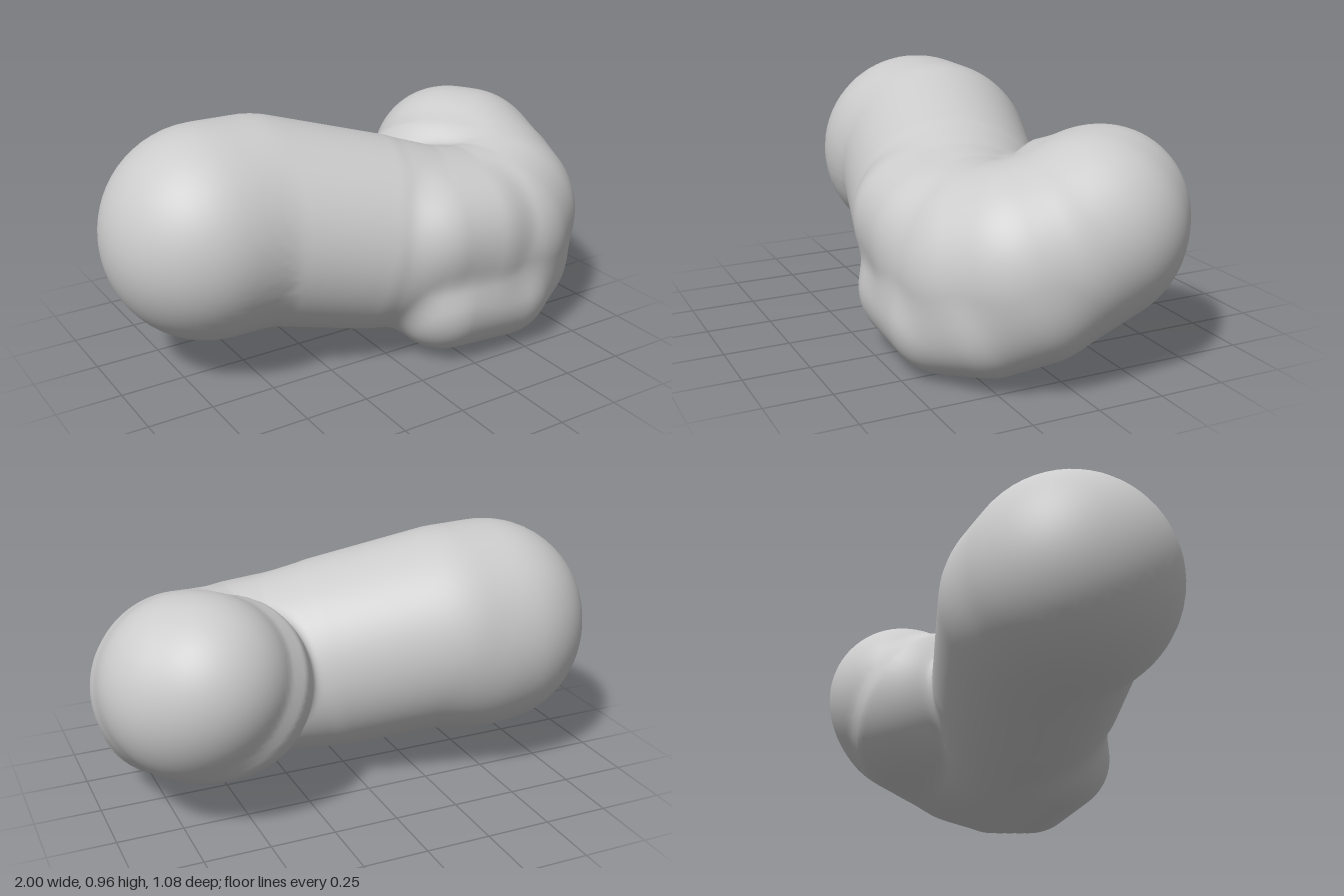
import * as THREE from 'three';
import { mergeVertices } from 'three/addons/utils/BufferGeometryUtils.js';

// Each strand is a chain of balls: x, y, z, radius
const strands = {
  // Centreline of the whole bent body
  spine: [
    [-0.597, 0.562, -0.045, 0.403],
    [-0.42, 0.561, -0.05, 0.4],
    [0, 0.468, 0.08, 0.382],
    [0.22, 0.425, 0.152, 0.358],
    [0.38, 0.405, 0.177, 0.352],
    [0.52, 0.405, 0.165, 0.352],
    [0.62, 0.432, 0.09, 0.352],
    [0.655, 0.468, -0.02, 0.345],
    [0.65, 0.515, -0.15, 0.343],
  ],
  // Fuller lower edge round the outside of the bend
  lowerEdge: [
    [0.22, 0.24, 0.312, 0.22],
    [0.48, 0.224, 0.315, 0.22],
    [0.64, 0.262, 0.22, 0.226],
    [0.72, 0.33, 0.09, 0.235],
  ],
  // Fuller upper edge on the front of the bend
  upperEdge: [
    [0.18, 0.505, 0.3, 0.23],
    [0.34, 0.49, 0.305, 0.23],
  ],
  // Widened rounded tip of the short limb
  tip: [
    [0.57, 0.515, -0.18, 0.342],
    [0.62, 0.562, -0.228, 0.31],
    [0.68, 0.552, -0.17, 0.31],
  ],
  // Lower back of the long limb's end
  heel: [
    [-0.6, 0.505, -0.08, 0.36],
    [-0.52, 0.5, -0.085, 0.36],
  ],
};

const chains = Object.values(strands).map((rows) =>
  rows.map(([x, y, z, r]) => ({ p: new THREE.Vector3(x, y, z), r })));

const smoothMin = (a, b, k) => {
  const h = Math.max(k - Math.abs(a - b), 0) / k;
  return Math.min(a, b) - h * h * k * 0.25;
};

// Distance to a rounded, slightly tapered segment
const ab = new THREE.Vector3(), aq = new THREE.Vector3();
function segmentDistance(q, a, b) {
  ab.subVectors(b.p, a.p);
  const t = THREE.MathUtils.clamp(aq.subVectors(q, a.p).dot(ab) / ab.lengthSq(), 0, 1);
  return q.distanceTo(ab.multiplyScalar(t).add(a.p)) - THREE.MathUtils.lerp(a.r, b.r, t);
}

function chainDistance(q, chain) {
  let d = Infinity;
  for (let i = 0; i < chain.length - 1; i++) d = Math.min(d, segmentDistance(q, chain[i], chain[i + 1]));
  return d;
}

const bodyDistance = (q) =>
  chains.reduce((d, chain) => smoothMin(d, chainDistance(q, chain), 0.045), 10);

export function createModel() {
  const group = new THREE.Group();
  group.name = 'bentBean';

  // Even sphere whose vertices are pushed out to the body surface
  let geometry = new THREE.IcosahedronGeometry(1, 36);
  geometry.deleteAttribute('uv');
  geometry.deleteAttribute('normal');
  geometry = mergeVertices(geometry, 1e-5);

  const core = new THREE.Vector3(0.28, 0.42, 0.08);
  const pos = geometry.attributes.position;
  const dir = new THREE.Vector3(), q = new THREE.Vector3();
  for (let i = 0; i < pos.count; i++) {
    dir.fromBufferAttribute(pos, i).normalize();
    let inside = 0, outside = 1.8;
    for (let n = 0; n < 22; n++) {
      const mid = (inside + outside) / 2;
      q.copy(core).addScaledVector(dir, mid);
      if (bodyDistance(q) < 0) inside = mid;
      else outside = mid;
    }
    q.copy(core).addScaledVector(dir, inside);
    pos.setXYZ(i, q.x, q.y, q.z);
  }
  geometry.computeVertexNormals();

  const body = new THREE.Mesh(geometry, new THREE.MeshStandardMaterial({ color: 0xcccccc }));
  body.name = 'body';
  group.add(body);
  return group;
}
